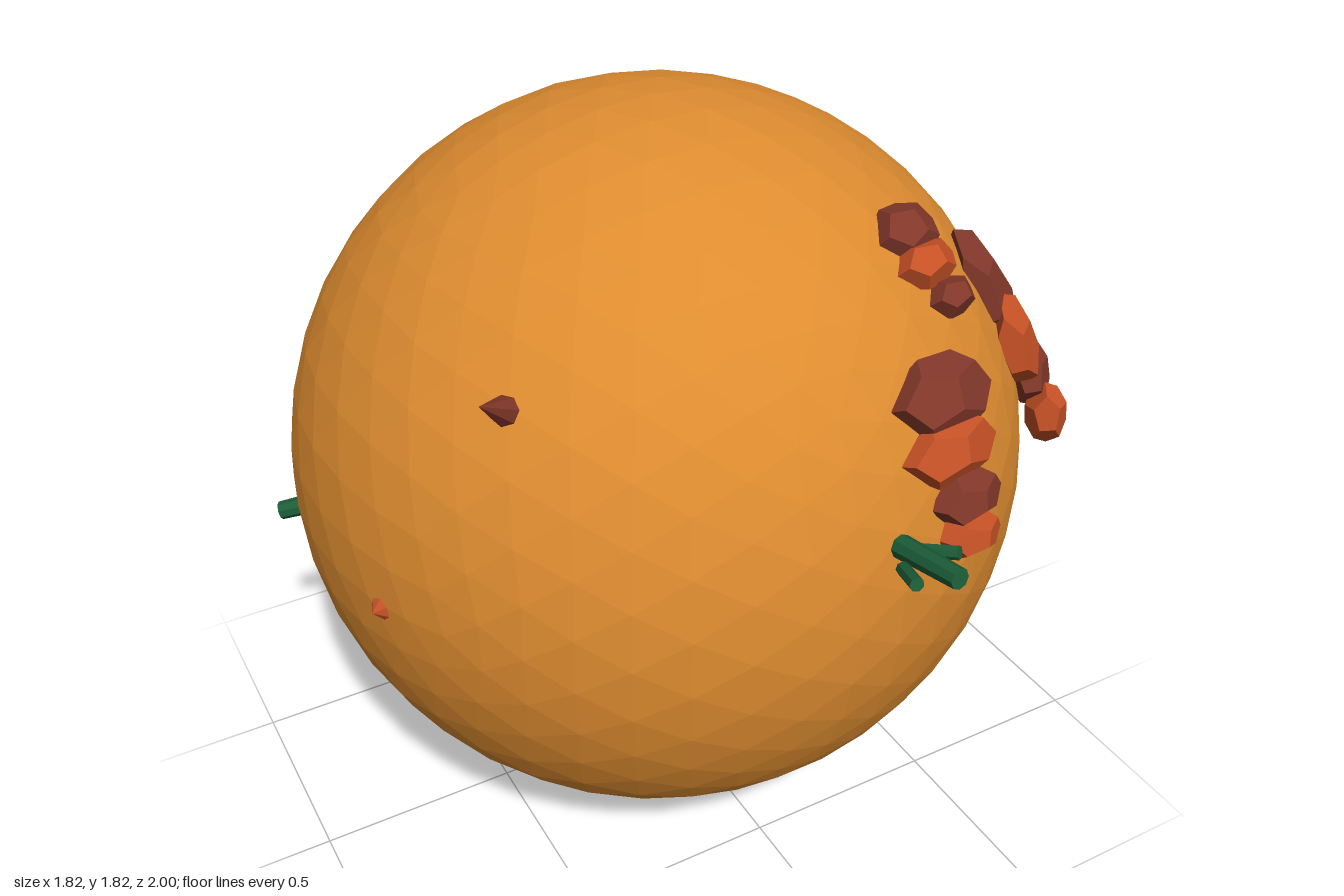
import * as THREE from 'three';

const CENTER = new THREE.Vector3(0, 0.915, -0.06);
const RADIUS = 0.908;
const UP = new THREE.Vector3(0, 1, 0);

export function createModel() {
  const model = new THREE.Group();
  const mat = (name, color) => {
    const m = new THREE.MeshStandardMaterial({ color, flatShading: true });
    m.name = name;
    return m;
  };
  const amber = mat('amber', 0xde8c30);
  const darkRust = mat('dark rust', 0x83382a);
  const rust = mat('bright rust', 0xc85226);
  const green = mat('deep green', 0x1c5e38);

  const add = (parent, name, geometry, material) => {
    const mesh = new THREE.Mesh(geometry, material);
    mesh.name = name;
    parent.add(mesh);
    return mesh;
  };

  // Faceted round body
  add(model, 'body', new THREE.IcosahedronGeometry(RADIUS, 7), amber).position.copy(CENTER);

  // Flattened stone lying on the surface: position, width, height, roll
  const stone = (parent, [x, y, z, w, h, roll], i) => {
    const mesh = add(parent, 'stone', new THREE.DodecahedronGeometry(1.07), i % 2 ? rust : darkRust);
    const p = new THREE.Vector3(x, y, z);
    const n = p.clone().sub(CENTER).normalize();
    const right = new THREE.Vector3().crossVectors(UP, n).normalize();
    const up = new THREE.Vector3().crossVectors(n, right);
    mesh.quaternion.setFromRotationMatrix(new THREE.Matrix4().makeBasis(right, up, n));
    mesh.rotateZ(roll);
    mesh.scale.set(w / 2, h / 2, 0.05);
    mesh.position.copy(p);
  };

  // Three chains of stones, each tapering downward
  const chains = {
    frontStones: [
      [0.285, 1.35, 0.69, 0.31, 0.18, -0.2],
      [0.275, 1.25, 0.745, 0.29, 0.15, -0.15],
      [0.305, 1.14, 0.785, 0.21, 0.12, -0.12],
      [0.295, 1.07, 0.82, 0.18, 0.1, -0.2],
    ],
    upperStones: [
      [0.36, 1.6, 0.42, 0.21, 0.14, -0.25],
      [0.37, 1.55, 0.485, 0.2, 0.11, -0.25],
      [0.41, 1.48, 0.53, 0.15, 0.09, -0.25],
    ],
    sideStones: [
      [0.65, 1.38, 0.365, 0.24, 0.33, 0.4],
      [0.69, 1.26, 0.45, 0.2, 0.26, 0.4],
      [0.77, 1.14, 0.43, 0.16, 0.18, 0.2],
      [0.785, 1.05, 0.495, 0.12, 0.17, 0.3],
    ],
  };
  for (const [name, rows] of Object.entries(chains)) {
    const group = new THREE.Group();
    group.name = name;
    rows.forEach((row, i) => stone(group, row, i));
    model.add(group);
  }

  // Tapered rod between two points
  const rod = (parent, name, a, b, r0, r1, sides, material) => {
    const from = new THREE.Vector3(...a), to = new THREE.Vector3(...b);
    const dir = to.clone().sub(from);
    const mesh = add(parent, name, new THREE.CylinderGeometry(r1, r0, dir.length(), sides), material);
    mesh.position.copy(from).add(to).multiplyScalar(0.5);
    mesh.quaternion.setFromUnitVectors(UP, dir.normalize());
  };

  // Thorns pointing outward: tip, length, base radius
  const thorns = [
    [[-0.67, 1.485, 0.46], 0.14, 0.04, darkRust],
    [[-0.875, 0.9, 0.25], 0.06, 0.075, rust],
    [[0.105, 1.25, -1.0], 0.14, 0.04, rust],
    [[-0.06, 0.05, 0.29], 0.06, 0.07, rust],
  ];
  for (const [tip, length, r, material] of thorns) {
    const t = new THREE.Vector3(...tip);
    const base = t.clone().addScaledVector(t.clone().sub(CENTER).normalize(), -length);
    rod(model, 'thorn', base.toArray(), tip, r, 0, 7, material);
  }

  // Small stems: a cluster of three at the front and one at the back
  const stems = new THREE.Group();
  stems.name = 'stems';
  model.add(stems);
  rod(stems, 'frontStem', [0.105, 1.1, 0.8], [0.122, 1.13, 0.995], 0.028, 0.024, 8, green);
  rod(stems, 'sideStem', [0.068, 1.1, 0.88], [0.042, 1.122, 0.96], 0.016, 0.016, 7, green);
  rod(stems, 'sideStem', [0.145, 1.095, 0.845], [0.19, 1.115, 0.91], 0.016, 0.016, 7, green);
  rod(stems, 'backStem', [-0.75, 0.715, -0.475], [-0.87, 0.68, -0.535], 0.028, 0.024, 8, green);

  return model;
}
